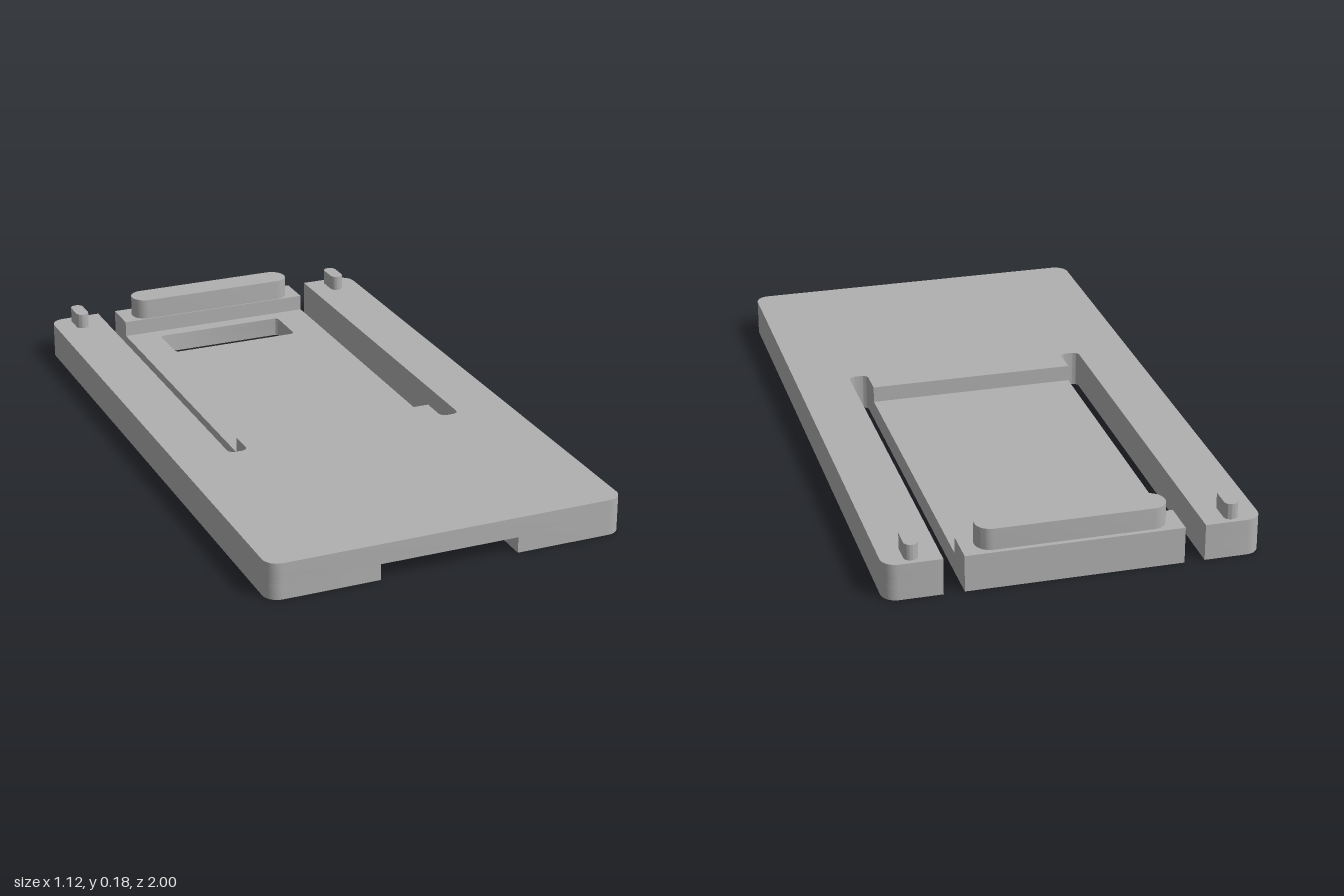
import * as THREE from 'three';
import { toCreasedNormals } from 'three/addons/utils/BufferGeometryUtils.js';

const grey = new THREE.MeshStandardMaterial({ color: 0xb0b0b0 });
grey.name = 'grey';

// Mirror a half outline of [x, z, cornerRadius] points across x = 0
const mirror = half => [...half, ...half.map(([x, z, r]) => [-x, z, r]).reverse()];

// Closed path with circular corners
function outline(points, path = new THREE.Shape()) {
  const n = points.length;
  const v = points.map(([x, z]) => new THREE.Vector2(x, -z));
  points.forEach(([, , r = 0], i) => {
    const p = v[i];
    const toward = (q, d) => p.clone().add(q.clone().sub(p).setLength(d));
    const prev = v[(i + n - 1) % n], next = v[(i + 1) % n];
    const a = toward(prev, r), b = toward(next, r);
    if (i === 0) path.moveTo(a.x, a.y);
    else path.lineTo(a.x, a.y);
    if (r > 0) {
      const c = toward(prev, r * 0.4477), d = toward(next, r * 0.4477);
      path.bezierCurveTo(c.x, c.y, d.x, d.y, b.x, b.y);
    }
  });
  path.closePath();
  return path;
}

// Vertical slab between two heights
function slab(name, points, y0, y1, hole) {
  const shape = outline(points);
  if (hole) shape.holes.push(outline(hole, new THREE.Path()));
  const geo = new THREE.ExtrudeGeometry(shape, { depth: y1 - y0, bevelEnabled: false, curveSegments: 8 });
  geo.rotateX(-Math.PI / 2).translate(0, y0, 0);
  const mesh = new THREE.Mesh(toCreasedNormals(geo, 0.6), grey);
  mesh.name = name;
  return mesh;
}

const rect = (cx, cz, w, d, r = 0) => [
  [cx - w / 2, cz - d / 2, r], [cx + w / 2, cz - d / 2, r],
  [cx + w / 2, cz + d / 2, r], [cx - w / 2, cz + d / 2, r],
];

export function createModel() {
  const group = new THREE.Group();
  group.name = 'slidePlate';
  const top = 0.113, grooveTop = 0.05, floorTop = 0.062;

  // Outer edge and one slot, shared by all plate layers
  const side = [[0.56, 1, 0.045], [0.56, -1, 0.045], [0.387, -1], [0.387, 0.26, 0.02], [0.326, 0.26, 0.02]];
  const tongueEnd = [0.326, -1];
  const window = rect(0, -0.76, 0.435, 0.156, 0.015);

  // Bottom layer, with the groove running in from the front
  group.add(slab('groovedBase', mirror([[0.217, -0.465], [0.217, 1], ...side, tongueEnd]), 0, grooveTop, window));
  // Thin floor over the groove
  group.add(slab('recessFloor', mirror([...side, tongueEnd]), grooveTop, floorTop, window));
  // Upper frame around the recess
  group.add(slab('upperFrame', mirror([...side, [0.326, 0.163]]), floorTop, top));
  // Raised block and grip bar at the end of the tongue
  group.add(slab('tongueBlock', rect(0, -0.9425, 0.652, 0.115), floorTop, top));
  group.add(slab('gripBar', rect(0, -0.937, 0.566, 0.096, 0.046), top, 0.18));

  // Locating pins on the side arms
  for (const s of [-1, 1]) {
    group.add(slab(s > 0 ? 'leftPin' : 'rightPin', rect(s * 0.473, -0.937, 0.042, 0.096, 0.0205), top, 0.162));
  }
  return group;
}
